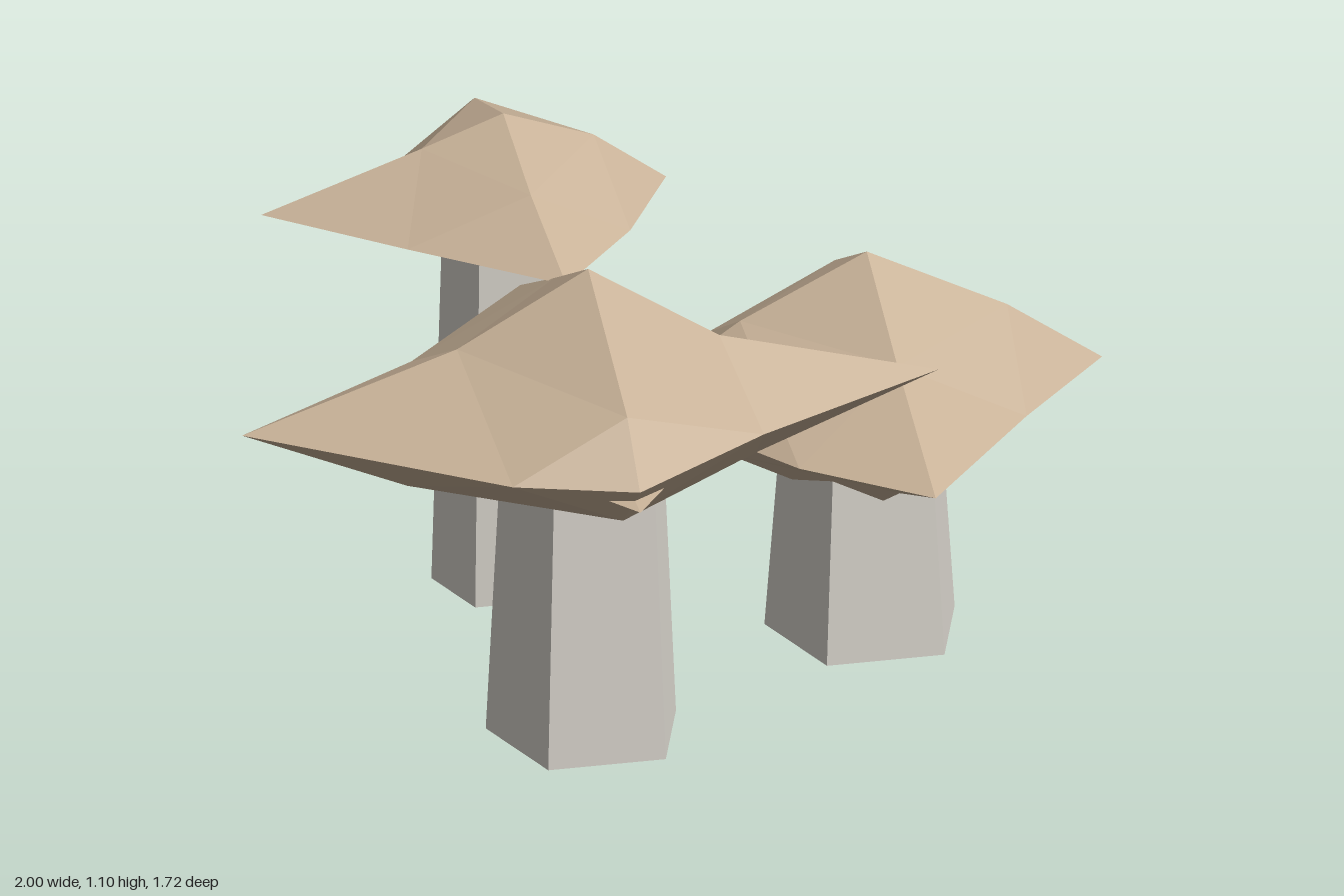
import * as THREE from 'three';

const capMat = new THREE.MeshStandardMaterial({ color: 0xc8b298, flatShading: true });
const stemMat = new THREE.MeshStandardMaterial({ color: 0xd8d4cc, flatShading: true });
const DIRS = [[1, 0], [0, 1], [-1, 0], [0, -1]]; // +x, +z, -x, -z

// Faceted cap: a once-subdivided octahedron with uneven radii.
// upper / lower: [reach, y] along each of DIRS; rim: eight [x, z] offsets.
function makeCap({ apex, rimY, bottom, upper, rim, lower }) {
  const pos = [];
  const along = ([reach, y], i) => [DIRS[i][0] * reach, y, DIRS[i][1] * reach];
  const R = rim.map(([x, z]) => [x, rimY, z]);
  const half = (tip, mids, flip) => {
    const M = mids.map(along);
    const tri = (a, b, c) => pos.push(...a, ...(flip ? c : b), ...(flip ? b : c));
    for (let i = 0; i < 4; i++) {
      const j = (i + 1) % 4;
      const r0 = R[2 * i], r1 = R[2 * i + 1], r2 = R[2 * j];
      tri([0, tip, 0], M[j], M[i]);
      tri(M[i], r1, r0);
      tri(M[i], M[j], r1);
      tri(M[j], r2, r1);
    }
  };
  half(apex, upper, false);
  half(bottom, lower, true);
  const g = new THREE.BufferGeometry();
  g.setAttribute('position', new THREE.Float32BufferAttribute(pos, 3));
  g.computeVertexNormals();
  return new THREE.Mesh(g, capMat);
}

// Five-sided tapering stem with a recessed foot
function makeStem(r, rTop, h) {
  const profile = [[0, 0.05], [r * 0.5, 0.05], [r * 0.8, 0], [r, 0], [rTop, h], [0, h]];
  const g = new THREE.LatheGeometry(profile.map(([x, y]) => new THREE.Vector2(x, y)), 5);
  g.rotateY(Math.PI);
  return new THREE.Mesh(g, stemMat);
}

// Thin pointed flake under the rim, facing a given angle
function makeSpur(reach, y, angle) {
  const g = new THREE.ConeGeometry(0.11, 0.16, 4);
  g.rotateX(Math.PI / 2);
  g.scale(1, 0.15, 1);
  g.translate(0, y, reach - 0.08);
  g.rotateY(angle);
  return new THREE.Mesh(g, capMat);
}

const MUSHROOMS = [
  {
    name: 'frontMushroom', x: -0.235, z: 0.365, stem: [0.221, 0.188, 0.66],
    apex: 1.09, rimY: 0.775, bottom: 0.51,
    upper: [[0.29, 0.905], [0.37, 0.9], [0.29, 0.93], [0.32, 0.93]],
    rim: [[0.775, 0], [0.33, 0.25], [0, 0.49], [-0.26, 0.4], [-0.765, 0], [-0.32, -0.3], [0, -0.64], [0.285, -0.28]],
    lower: [[0.37, 0.62], [0.33, 0.64], [0.4, 0.62], [0.4, 0.62]],
    spur: [0.495, 0.73, 0],
  },
  {
    name: 'leftMushroom', x: 0.475, z: -0.037, stem: [0.221, 0.186, 0.46],
    apex: 0.885, rimY: 0.585, bottom: 0.28,
    upper: [[0.31, 0.73], [0.29, 0.74], [0.28, 0.75], [0.3, 0.735]],
    rim: [[0.52, 0], [0.29, 0.27], [0, 0.65], [-0.25, 0.43], [-0.53, 0], [-0.275, -0.32], [0, -0.53], [0.375, -0.265]],
    lower: [[0.31, 0.43], [0.31, 0.45], [0.31, 0.44], [0.36, 0.45]],
    spur: [0.525, 0.55, -Math.PI / 2],
  },
  {
    name: 'backMushroom', x: -0.23, z: -0.457, stem: [0.155, 0.131, 0.86],
    apex: 1.1, rimY: 0.915, bottom: 0.74,
    upper: [[0.2, 1.03], [0.26, 1.02], [0.18, 1.035], [0.27, 1.02]],
    rim: [[0.36, 0], [0.22, 0.26], [0.02, 0.51], [-0.27, 0.25], [-0.535, 0], [-0.2, -0.19], [0, -0.405], [0.24, -0.265]],
    lower: [[0.2, 0.82], [0.18, 0.83], [0.27, 0.83], [0.2, 0.81]],
  },
];

export function createModel() {
  const model = new THREE.Group();
  model.name = 'mushroomCluster';
  for (const m of MUSHROOMS) {
    const group = new THREE.Group();
    group.name = m.name;
    group.position.set(m.x, 0, m.z);
    const parts = { stem: makeStem(...m.stem), cap: makeCap(m) };
    if (m.spur) parts.capSpur = makeSpur(...m.spur);
    for (const [name, mesh] of Object.entries(parts)) {
      mesh.name = name;
      group.add(mesh);
    }
    model.add(group);
  }
  return model;
}
